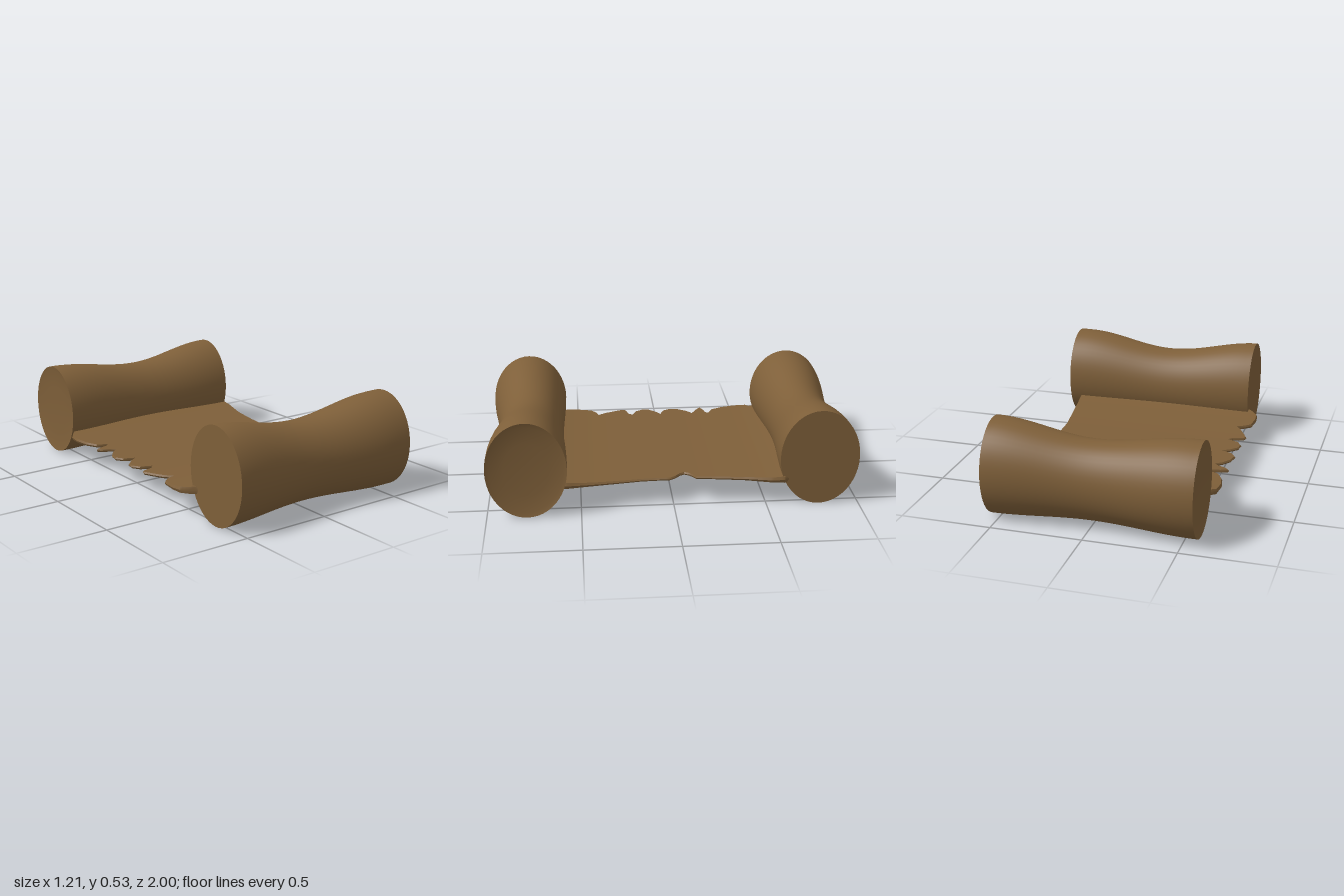
import * as THREE from 'three';
import { toCreasedNormals } from 'three/addons/utils/BufferGeometryUtils.js';

const parchment = new THREE.MeshStandardMaterial({ color: 0x7e5f39 });
parchment.name = 'brown parchment';

// Torn edges of the sheet as [z, x], ordered from back to front
const tornRightEdge = [
  [-0.66, -0.55], [-0.565, -0.57], [-0.545, -0.597], [-0.47, -0.605], [-0.39, -0.59], [-0.33, -0.56],
  [-0.315, -0.53], [-0.305, -0.505], [-0.285, -0.515], [-0.275, -0.56], [-0.26, -0.6],
  [-0.24, -0.58], [-0.215, -0.53], [-0.2, -0.51], [-0.17, -0.55], [-0.12, -0.585],
  [-0.07, -0.595], [-0.03, -0.57], [-0.005, -0.51], [0.02, -0.55], [0.06, -0.59],
  [0.1, -0.595], [0.14, -0.57], [0.165, -0.51], [0.19, -0.53], [0.205, -0.59],
  [0.225, -0.6], [0.27, -0.58], [0.33, -0.55], [0.375, -0.515], [0.39, -0.56],
  [0.42, -0.595], [0.5, -0.605], [0.56, -0.6], [0.6, -0.57], [0.625, -0.54], [0.66, -0.52],
];
const tornLeftEdge = [
  [-0.66, 0.53], [-0.62, 0.545], [-0.595, 0.555], [-0.53, 0.55], [-0.38, 0.51], [-0.22, 0.485],
  [-0.125, 0.475], [-0.11, 0.45], [-0.09, 0.425], [-0.065, 0.41], [-0.04, 0.425], [-0.01, 0.46],
  [0.02, 0.48], [0.1, 0.48], [0.18, 0.485], [0.28, 0.5], [0.42, 0.52], [0.57, 0.54], [0.66, 0.53],
];

function edgeAt(edge, z) {
  let i = 1;
  while (i < edge.length - 1 && edge[i][0] < z) i++;
  const [z0, x0] = edge[i - 1], [z1, x1] = edge[i];
  return THREE.MathUtils.lerp(x0, x1, (z - z0) / (z1 - z0));
}

// Flat sheet lofted along z, thickening a little towards the rolls
function createSheet() {
  const stations = [...tornRightEdge, ...tornLeftEdge].map((p) => p[0]);
  for (let i = 1; i < 66; i++) stations.push(-0.66 + i * 0.02);
  stations.sort((a, b) => a - b);
  const zs = stations.filter((z, i) => i === 0 || z - stations[i - 1] > 0.002);

  const positions = [], indices = [], ring = 6;
  zs.forEach((z, i) => {
    const right = edgeAt(tornRightEdge, z), left = edgeAt(tornLeftEdge, z);
    const flare = Math.pow(Math.abs(z) / 0.6, 4);
    const bottom = 0.138 - 0.004 * flare, top = 0.154 + 0.018 * flare;
    const middle = (bottom + top) / 2, bevel = 0.006;
    positions.push(
      right + bevel, bottom, z, left - bevel, bottom, z, left, middle, z,
      left - bevel, top, z, right + bevel, top, z, right, middle, z,
    );
    if (i === 0) return;
    for (let j = 0; j < ring; j++) {
      const a = (i - 1) * ring + j, b = (i - 1) * ring + (j + 1) % ring;
      indices.push(a, b, a + ring, b, b + ring, a + ring);
    }
  });
  // End caps, hidden inside the rolls
  const last = (zs.length - 1) * ring;
  for (let j = 1; j < ring - 1; j++) {
    indices.push(0, j + 1, j, last, last + j, last + j + 1);
  }
  const geometry = new THREE.BufferGeometry();
  geometry.setAttribute('position', new THREE.Float32BufferAttribute(positions, 3));
  geometry.setIndex(indices);
  return toCreasedNormals(geometry, 0.6);
}

// Oval roll along x with a narrow waist and optionally dished ends
function createRoll({ x0, x1, z, waistZ, waistRadius, rightDish, leftDish, rightRadius }) {
  const profile = [new THREE.Vector2(0, x0 + rightDish), new THREE.Vector2(0.55, x0 + rightDish * 0.8),
    new THREE.Vector2(0.9, x0 + rightDish * 0.4)];
  for (let i = 0; i <= 28; i++) profile.push(new THREE.Vector2(1, THREE.MathUtils.lerp(x0, x1, i / 28)));
  profile.push(new THREE.Vector2(0.9, x1 - leftDish * 0.4), new THREE.Vector2(0.55, x1 - leftDish * 0.8),
    new THREE.Vector2(0, x1 - leftDish));

  const geometry = new THREE.LatheGeometry(profile, 48).rotateZ(-Math.PI / 2);
  const p = geometry.attributes.position;
  const mix = THREE.MathUtils.lerp;
  for (let i = 0; i < p.count; i++) {
    const x = p.getX(i);
    const waist = 0.5 + 0.5 * Math.cos(Math.PI * Math.min(1, Math.abs(x) / 0.55));
    const endRadius = x < 0 ? rightRadius : 0.266;
    p.setY(i, mix(endRadius + 0.007, 0.248, waist) + p.getY(i) * mix(endRadius, 0.218, waist));
    p.setZ(i, mix(z, waistZ, waist) + p.getZ(i) * mix(0.215, waistRadius, waist));
  }
  return toCreasedNormals(geometry, 0.7);
}

export function createModel() {
  const group = new THREE.Group();
  group.name = 'scroll';
  const add = (name, geometry) => {
    const mesh = new THREE.Mesh(geometry, parchment);
    mesh.name = name;
    group.add(mesh);
  };
  add('sheet', createSheet());
  add('frontRoll', createRoll({
    x0: -0.535, x1: 0.602, z: 0.785, waistZ: 0.767, waistRadius: 0.181,
    rightDish: 0, leftDish: 0.02, rightRadius: 0.266,
  }));
  add('backRoll', createRoll({
    x0: -0.572, x1: 0.545, z: -0.785, waistZ: -0.781, waistRadius: 0.176,
    rightDish: 0.012, leftDish: 0, rightRadius: 0.258,
  }));
  return group;
}
